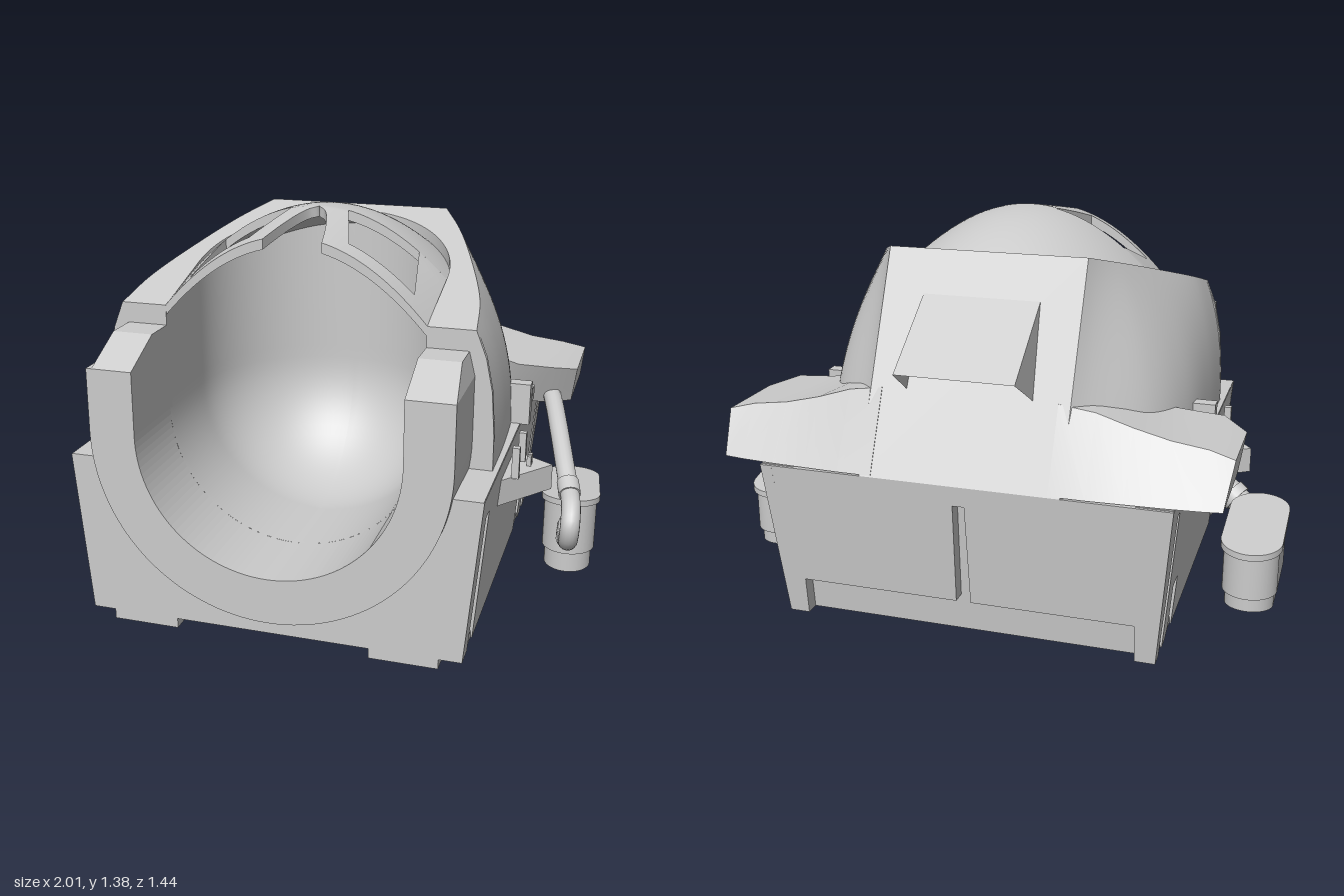
import * as THREE from 'three';
import { ParametricGeometry } from 'three/addons/geometries/ParametricGeometry.js';

const mat = new THREE.MeshStandardMaterial({ color: 0xcccccc, side: THREE.DoubleSide });
const { lerp, clamp } = THREE.MathUtils;
const V3 = (x, y, z) => new THREE.Vector3(x, y, z);

// Move every vertex of a geometry by a rule
function reshape(geo, rule) {
  const p = geo.attributes.position;
  for (let i = 0; i < p.count; i++) p.setXYZ(i, ...rule(p.getX(i), p.getY(i), p.getZ(i)));
  geo.computeVertexNormals();
  return geo;
}
function surface(fn, nu, nv) {
  const geo = new ParametricGeometry((u, v, t) => t.set(...fn(u, v)), nu, nv);
  geo.computeVertexNormals();
  return geo;
}
const polygon = pts => new THREE.Shape(pts.map(p => new THREE.Vector2(...p)));
const extrude = (shape, depth, steps = 1) =>
  new THREE.ExtrudeGeometry(shape, { depth, steps, bevelEnabled: false, curveSegments: 32 });

// Main rules of the form
const deckY = z => 1.07 + (0.43 - z) * 0.2875;
const wallX = y => 0.65 + (y - 0.035) * 0.088;
const backZ = y => -0.64 - (y - 0.035) * 0.106;
const domeY = (x, z) => {
  const f = Math.max(z - 0.13, 0), b = Math.max(0.13 - z, 0);
  return 1.378 - 0.16 * f - 0.54 * b * b - (1.14 + 0.45 * f) * x * x;
};
// Half of the U-shaped plan of the cavity, t = 0 at the front, 1 at the back centre
const planU = (t, r) => {
  if (t < 0.3) return [r, lerp(0.43, 0.13, t / 0.3)];
  const a = (t - 0.3) / 0.7 * Math.PI / 2;
  return [r * Math.cos(a), 0.13 - r * Math.sin(a)];
};
const plan = pts => new THREE.CatmullRomCurve3(pts.map(([x, z]) => V3(x, 0, z)));
const hoodTop = plan([[0.61, 0.43], [0.585, 0.25], [0.5, -0.02], [0.42, -0.22], [0.34, -0.37]]);
const hoodBottom = plan([[0.68, 0.43], [0.675, 0.15], [0.65, -0.15], [0.57, -0.4], [0.34, -0.7]]);

export function createModel() {
  const model = new THREE.Group();
  const add = (name, geo, parent = model) => {
    const m = new THREE.Mesh(geo, mat);
    m.name = name;
    parent.add(m);
    return m;
  };
  const box = (name, x0, x1, y0, y1, z0, z1, parent) =>
    add(name, new THREE.BoxGeometry(Math.abs(x1 - x0), y1 - y0, Math.abs(z1 - z0))
      .translate((x0 + x1) / 2, (y0 + y1) / 2, (z0 + z1) / 2), parent);

  // Base: front wall with round cut-out, floor and feet
  const front = polygon([[-0.65, 0.035], [0.65, 0.035], [0.7, 0.6], [0.602, 0.6]]);
  front.absarc(0, 0.7, 0.61, -0.165, Math.PI + 0.165, true);
  front.lineTo(-0.7, 0.6);
  add('baseFront', extrude(front, 0.03).translate(0, 0, 0.66));
  box('baseFloor', -0.645, 0.645, 0.035, 0.06, -0.59, 0.68);
  for (const x of [-0.455, 0.455]) for (const z of [0.555, -0.385])
    box('foot', x - 0.117, x + 0.117, 0, 0.036, z - 0.135, z + 0.135);

  // Base side walls with slots open at the bottom, backed by plain panels
  const side = [[0.69, 0.035], [0.61, 0.035], [0.595, 0.51], [0.535, 0.51], [0.52, 0.035],
    [-0.355, 0.035], [-0.355, 0.22], [-0.435, 0.22], [-0.435, 0.07], [-0.47, 0.035],
    [-0.525, 0.035], [-0.54, 0.535], [-0.575, 0.535], [-0.585, 0.035],
    [-0.64, 0.035], [-0.7, 0.6], [0.69, 0.6]];
  const panel = [[0.69, 0.035], [-0.6, 0.035], [-0.65, 0.6], [0.69, 0.6]];
  for (const s of [1, -1]) {
    const bend = inset => (z, y, d) => [s * (wallX(y) - inset - d), y, z];
    add('baseSide', reshape(extrude(polygon(side), 0.04), bend(0)));
    add('slotBacking', reshape(extrude(polygon(panel), 0.01), bend(0.04)));
    box('baseTop', s * 0.58, s * 0.698, 0.59, 0.602, -0.69, 0.69);
  }

  // Base back wall with a wide low recess and a centre slot
  const back = [[-0.65, 0.035], [-0.58, 0.035], [-0.58, 0.17], [-0.025, 0.17], [-0.02, 0.53],
    [0.02, 0.53], [0.025, 0.17], [0.58, 0.17], [0.58, 0.035], [0.65, 0.035], [0.7, 0.6], [-0.7, 0.6]];
  const lean = inset => (x, y, d) => [x, y, backZ(y) + inset + d];
  add('baseBack', reshape(extrude(polygon(back), 0.05), lean(0)));
  add('recessBacking', reshape(extrude(polygon([[-0.64, 0.035], [0.64, 0.035], [0.69, 0.6], [-0.69, 0.6]]), 0.01), lean(0.05)));

  // Tub rim with sloped tips
  const rim = polygon([[0.45, 1], [0.59, 1], [0.61, 0.92], [0.61, 0.7]]);
  rim.absarc(0, 0.7, 0.61, 0, Math.PI, true);
  rim.lineTo(-0.61, 0.92).lineTo(-0.59, 1).lineTo(-0.45, 1).lineTo(-0.45, 0.7);
  rim.absarc(0, 0.7, 0.45, Math.PI, Math.PI * 2, false);
  add('tubRim', reshape(extrude(rim, 0.29, 2), (x, y, d) => {
    const z = d > 0.1 && d < 0.2 ? 0.55 : 0.43 + d;
    return [x, Math.min(y, z > 0.7 ? 0.92 : 1), z];
  }));

  // Canopy slab between two edges that follow z, with thickness
  const slab = (name, s, xa, xb, z0, z1, nx, nz) =>
    add(name, reshape(new THREE.BoxGeometry(1, 1, 1, nx, 1, nz), (bx, by, bz) => {
      const z = lerp(z0, z1, bz + 0.5), x = lerp(xa(z), xb(z), bx + 0.5);
      return [s * x, domeY(x, z) - (by > 0 ? 0 : 0.035), z];
    }));
  const domeW = z => z > 0.13 ? 0.46 : Math.sqrt(Math.max(0.46 ** 2 - (z - 0.13) ** 2, 0));
  slab('canopyDome', 1, z => -domeW(z), domeW, -0.33, 0.12, 32, 28);
  const notch = z => 0.1 * Math.sqrt(clamp((z - 0.14) / 0.29, 0, 1));
  const inner = z => 0.1 + 0.3 * (z - 0.12);
  const outer = z => 0.35 + 0.17 * (z - 0.12);

  for (const s of [1, -1]) {
    // Canopy frame around the windows
    slab('canopyCentreBar', s, notch, inner, 0.12, 0.43, 4, 28);
    slab('canopySideBar', s, outer, () => 0.465, 0.12, 0.43, 4, 12);
    slab('canopyFrontBar', s, inner, outer, 0.36, 0.43, 14, 3);

    // Cavity with rounded end, sloping deck and hood shell
    add('cavity', surface((u, v) => {
      const a = Math.min(v / 0.6, 1) * Math.PI / 2;
      const [x, z] = planU(u, 0.45 * Math.sin(a));
      return [s * x, v < 0.6 ? 0.7 - 0.45 * Math.cos(a) : lerp(0.7, deckY(z), (v - 0.6) / 0.4), z];
    }, 40, 30));
    add('deck', surface((u, v) => {
      const [xi, zi] = planU(u, 0.45);
      const o = u < 0.8 ? hoodTop.getPoint(u / 0.8) : V3(0.34 * (1 - u) / 0.2, 0, -0.37);
      const z = lerp(zi, o.z, v);
      return [s * lerp(xi, o.x, v), deckY(z), z];
    }, 40, 2));
    add('hoodSide', surface((u, v) => {
      const b = hoodBottom.getPoint(u), t = hoodTop.getPoint(u);
      const k = Math.pow(v, lerp(2.6, 1, u * u));
      return [s * lerp(b.x, t.x, k), lerp(0.6, deckY(t.z), v), lerp(b.z, t.z, lerp(k, v, u))];
    }, 32, 20));
    add('hoodFront', extrude(polygon([[0.45, 0.6], [0.68, 0.6], [0.679, 0.72], [0.668, 0.87],
      [0.645, 0.98], [0.61, 1.07], [0.45, 1.07]].map(([x, y]) => [s * x, y])), 0.02).translate(0, 0, 0.412));

    // Rear wing, columns: x, ridge z, ridge y, front z, front y, lower front z, back z
    const sections = [[0.3, -0.575, 0.87, -0.3, 0.87, -0.3, -0.7], [0.42, -0.565, 0.85, -0.27, 0.84, -0.3, -0.7],
      [0.54, -0.56, 0.81, -0.24, 0.79, -0.29, -0.695], [0.66, -0.56, 0.78, -0.21, 0.768, -0.28, -0.69],
      [0.78, -0.565, 0.765, -0.22, 0.763, -0.29, -0.68], [0.865, -0.58, 0.745, -0.3, 0.74, -0.34, -0.67]];
    add('rearWing', reshape(new THREE.BoxGeometry(1, 1, 1, 5, 1, 1), (bx, by, bz) => {
      const [x, rz, ry, fz, fy, lz, kz] = sections[Math.round((bx + 0.5) * 5)];
      if (by < 0) return [s * (x > 0.8 ? 0.845 : x), 0.605, bz > 0 ? lz : kz];
      return [s * x, bz > 0 ? fy : ry, bz > 0 ? fz : rz];
    }));

    // Triangular shelf with posts, and small fittings on the side
    const shelf = polygon([[s * 0.67, -0.35], [s * 0.84, -0.13], [s * 0.67, -0.02]]);
    add('shelf', extrude(shelf, 0.09).rotateX(-Math.PI / 2).translate(0, 0.435, 0));
    for (const z of [0.27, 0.12]) box('post', s * 0.72, s * 0.745, 0.52, 0.63, z - 0.012, z + 0.012);
    for (const z of [0.135, 0.16]) box('peg', s * 0.755, s * 0.77, 0.52, 0.56, z - 0.008, z + 0.008);
    box('fitting', s * 0.64, s * 0.73, 0.6, 0.75, -0.085, -0.035);
    box('fitting', s * 0.64, s * 0.7, 0.6, 0.685, -0.17, -0.05);
    box('fitting', s * 0.64, s * 0.72, 0.64, 0.69, -0.225, -0.17);
  }

  // Hood back panel and vent scoop
  add('hoodBack', surface((u, v) => [lerp(-0.34, 0.34, u), lerp(0.6, 1.3, v), lerp(-0.7, -0.37, v)], 1, 1));
  const scoop = new THREE.Group();
  scoop.name = 'ventScoop';
  model.add(scoop);
  add('scoopTop', surface((u, v) => [lerp(-0.2, 0.2, u), lerp(1.165, 0.965, v), lerp(-0.43, -0.72, v)], 1, 1), scoop);
  for (const s of [1, -1]) add('scoopCheek', surface((u, v) => {
    const y = lerp(1.165, lerp(0.965, 0.87, v), u), z = lerp(-0.43, lerp(-0.72, -0.57, v), u);
    return [s * (0.2 + 0.015 * u * v), y, z];
  }, 1, 1), scoop);

  // Side tanks: rounded slabs with sloping tops and bottoms
  const stadium = (name, w, l, y0, y1, slope0, slope1, parent) => {
    const r = w / 2, h = l / 2 - r, sh = new THREE.Shape();
    sh.absarc(0, h, r, 0, Math.PI, false);
    sh.absarc(0, -h, r, Math.PI, Math.PI * 2, false);
    return add(name, reshape(extrude(sh, 1), (x, z, d) =>
      [x, d > 0.5 ? y1 + slope1 * z : y0 + slope0 * z, z]), parent);
  };
  const tank = (name, x, y, z, turn) => {
    const g = new THREE.Group();
    g.name = name;
    stadium('tankLid', 0.205, 0.435, 0.335, 0.357, 0.1, 0.1, g);
    stadium('tankBody', 0.185, 0.405, 0.165, 0.345, 0, 0.1, g);
    stadium('tankFoot', 0.165, 0.37, 0.1, 0.17, -0.07, 0, g);
    g.position.set(x, y, z);
    g.rotation.y = turn;
    model.add(g);
  };
  tank('leftTank', 0.885, 0, -0.13, 0.1);
  tank('rightTank', -0.905, 0.025, -0.205, 0);

  // Hoses, each with collars at given stretches
  const hose = (name, pts, r, collars) => {
    const path = new THREE.CatmullRomCurve3(pts.map(p => V3(...p)));
    add(name, new THREE.TubeGeometry(path, 64, r, 16));
    for (const [a, b] of collars) {
      const p = path.getPointAt(a), q = path.getPointAt(b);
      const c = add('hoseCollar', new THREE.CylinderGeometry(r * 1.15, r * 1.15, p.distanceTo(q), 20));
      c.position.copy(p).lerp(q, 0.5);
      c.quaternion.setFromUnitVectors(V3(0, 1, 0), q.sub(p).normalize());
    }
  };
  hose('leftHose', [[0.77, 0.64, -0.32], [0.79, 0.625, -0.25], [0.83, 0.575, -0.1], [0.875, 0.5, 0.06], [0.905, 0.445, 0.16],
    [0.92, 0.42, 0.23], [0.925, 0.37, 0.275], [0.92, 0.31, 0.255], [0.91, 0.28, 0.19], [0.9, 0.285, 0.06]],
  0.033, [[0.52, 0.58], [0.87, 0.97]]);
  hose('rightHose', [[-0.9, 0.31, -0.03], [-0.905, 0.3, 0.06], [-0.89, 0.26, 0.13], [-0.84, 0.26, 0.18],
    [-0.77, 0.31, 0.21], [-0.67, 0.38, 0.24]], 0.048, [[0.05, 0.2], [0.66, 0.74]]);
  add('hoseStub', new THREE.CylinderGeometry(0.038, 0.038, 0.14, 20).rotateX(Math.PI / 2).translate(-0.785, 0.622, -0.29));

  return model;
}
